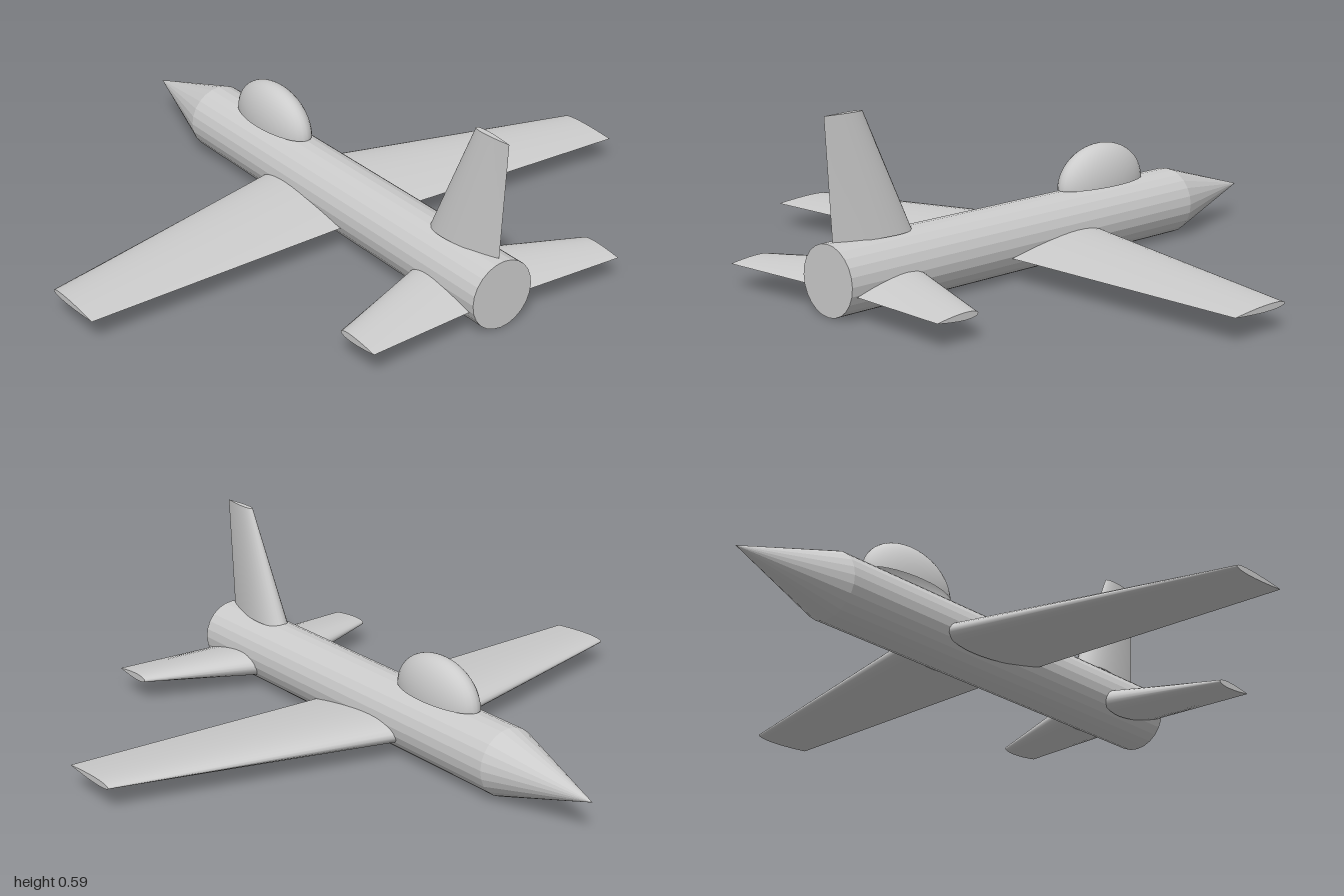
import * as THREE from 'three';

const material = new THREE.MeshStandardMaterial({ color: 0xcccccc });
const flat = new THREE.MeshStandardMaterial({ color: 0xcccccc, flatShading: true });
const open = new THREE.MeshStandardMaterial({ color: 0xcccccc, side: THREE.DoubleSide });

const R = 0.109, AXIS = 0.11; // body radius and height of its centre line
const N = 32; // points round an aerofoil

// Tapered aerofoil blade along +z, from a root to a tip section {lead, trail, thick, span}
function bladeGeometry(root, tip) {
  const positions = [], index = [];
  const ring = ({ lead, trail, thick, span }) => {
    const start = positions.length / 3;
    for (let i = 0; i <= N; i++) {
      const a = (i / N) * Math.PI * 2;
      const t = (1 + Math.cos(a)) / 2;
      const half = 5 * (0.2969 * Math.sqrt(t) - 0.126 * t - 0.3516 * t ** 2 + 0.2843 * t ** 3 - 0.1036 * t ** 4);
      const side = i === 0 || i === N ? 0 : i <= N / 2 ? 1 : -1;
      positions.push(lead + (trail - lead) * t, side * half * thick, span);
    }
    return start;
  };
  // skin
  const a = ring(root), b = ring(tip);
  for (let i = 0; i < N; i++) {
    index.push(a + i, a + i + 1, b + i, a + i + 1, b + i + 1, b + i);
  }
  // end caps
  const c = ring(root), d = ring(tip);
  for (let i = 0; i < N / 2; i++) {
    const j = N - i;
    index.push(d + i, d + i + 1, d + j - 1, d + i, d + j - 1, d + j);
    index.push(c + i, c + j - 1, c + i + 1, c + i, c + j, c + j - 1);
  }
  const g = new THREE.BufferGeometry();
  g.setAttribute('position', new THREE.Float32BufferAttribute(positions, 3));
  g.setIndex(index);
  g.computeVertexNormals();
  return g;
}

export function createModel() {
  const model = new THREE.Group();
  const add = (name, geometry, mat, x = 0, y = 0) => {
    const mesh = new THREE.Mesh(geometry, mat);
    mesh.name = name;
    mesh.position.set(x, y, 0);
    model.add(mesh);
    return mesh;
  };

  // Body tube and pointed nose, lying along x with the nose at -x
  add('fuselage', new THREE.CylinderGeometry(R, R, 1.465, 24).rotateZ(Math.PI / 2), flat, 0.1825, AXIS);
  add('noseCone', new THREE.ConeGeometry(R, 0.365, 24).rotateZ(Math.PI / 2), flat, -0.7325, AXIS);

  // Half-ellipsoid canopy
  const dome = new THREE.SphereGeometry(1, 32, 16, 0, Math.PI * 2, 0, Math.PI / 2);
  add('canopy', dome.scale(0.183, 0.132, 0.072), open, -0.222, 0.22);

  // Main wings and tailplanes; a half turn about x gives the opposite side
  const wing = bladeGeometry(
    { lead: -0.142, trail: 0.278, thick: 0.082, span: 0.09 },
    { lead: 0.088, trail: 0.307, thick: 0.02, span: 1 });
  const tailplane = bladeGeometry(
    { lead: 0.618, trail: 0.893, thick: 0.082, span: 0.09 },
    { lead: 0.76, trail: 0.913, thick: 0.022, span: 0.46 });
  for (const [side, turn] of [['Front', 0], ['Back', Math.PI]]) {
    add('wing' + side, wing, material, 0, 0.077).rotation.x = turn;
    add('tailplane' + side, tailplane, material, 0, 0.077).rotation.x = turn;
  }

  // Upright tail fin
  const fin = bladeGeometry(
    { lead: 0.602, trail: 0.894, thick: 0.09, span: 0.213 },
    { lead: 0.774, trail: 0.915, thick: 0.02, span: 0.588 });
  add('tailFin', fin, material).rotation.x = -Math.PI / 2;

  return model;
}
